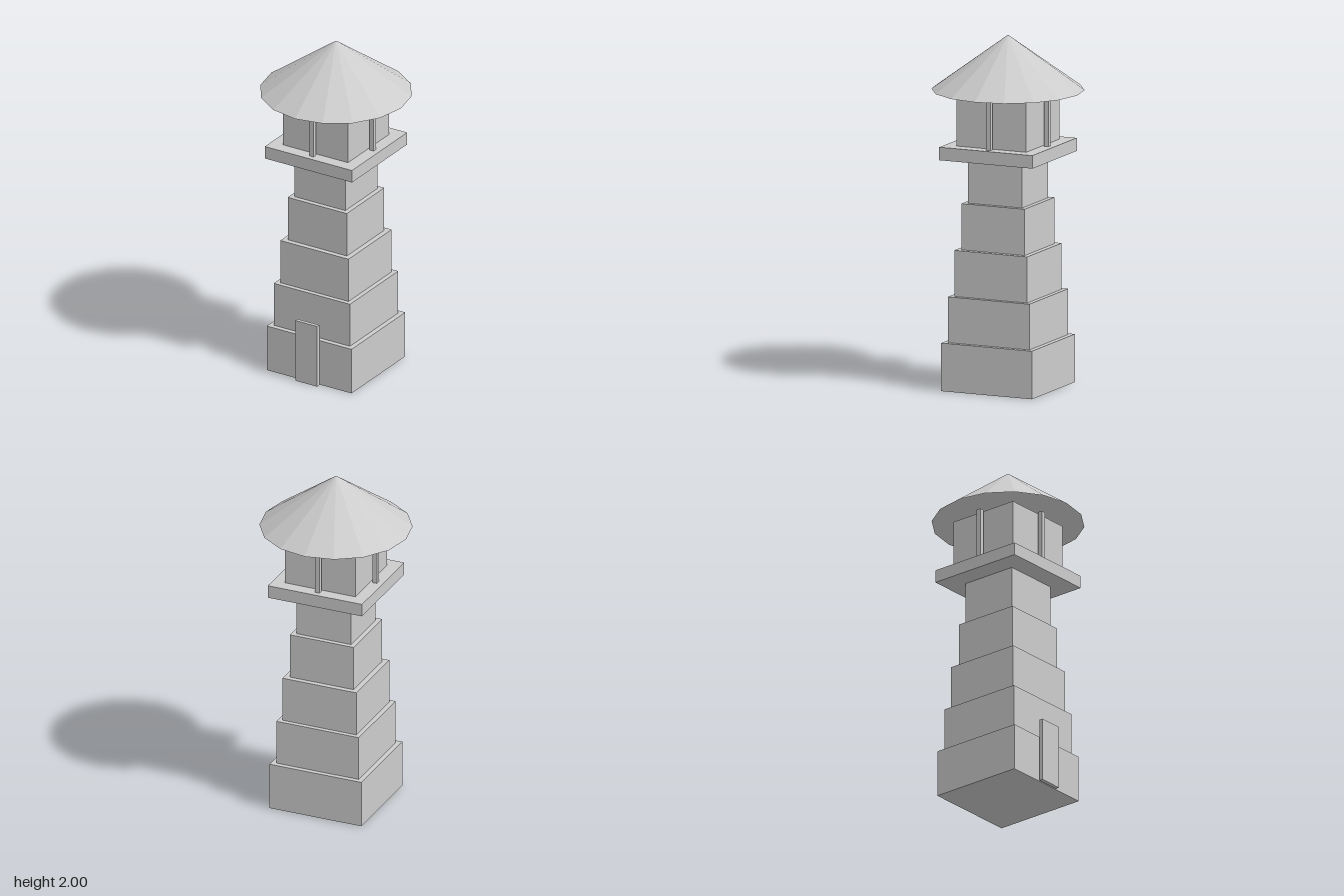
import * as THREE from 'three';

export function createModel() {
  const model = new THREE.Group();
  model.name = 'tower';
  const stone = new THREE.MeshStandardMaterial({ color: 0xcccccc, flatShading: true });
  stone.name = 'pale grey';
  const roofGrey = stone.clone();
  roofGrey.name = 'pale grey roof';
  roofGrey.side = THREE.DoubleSide;

  // Box standing on height y0 and reaching y1
  const box = (name, w, d, y0, y1, x = 0, z = 0) => {
    const mesh = new THREE.Mesh(new THREE.BoxGeometry(w, y1 - y0, d), stone);
    mesh.name = name;
    mesh.position.set(x, (y0 + y1) / 2, z);
    model.add(mesh);
  };

  // Five stepped tiers
  const levels = [0, 0.273, 0.533, 0.795, 1.058, 1.313];
  [0.56, 0.503, 0.45, 0.39, 0.335].forEach((w, i) => {
    box(`tier${i + 1}`, w, w, levels[i], levels[i + 1]);
  });

  // Door slab just in front of the lowest tier
  box('door', 0.144, 0.022, 0, 0.373, 0, 0.299);

  // Gallery platform and lantern room
  box('gallery', 0.576, 0.576, 1.313, 1.387);
  box('lanternRoom', 0.43, 0.43, 1.387, 1.69);

  // One post in the middle of each side
  for (const [x, z] of [[1, 0], [-1, 0], [0, 1], [0, -1]]) {
    box('post', 0.027, 0.027, 1.387, 1.69, x * 0.243, z * 0.243);
  }

  // Open sixteen-sided conical roof
  const roof = new THREE.Mesh(new THREE.ConeGeometry(0.428, 0.31, 16, 1, true), roofGrey);
  roof.name = 'roof';
  roof.position.y = 1.845;
  model.add(roof);

  return model;
}
